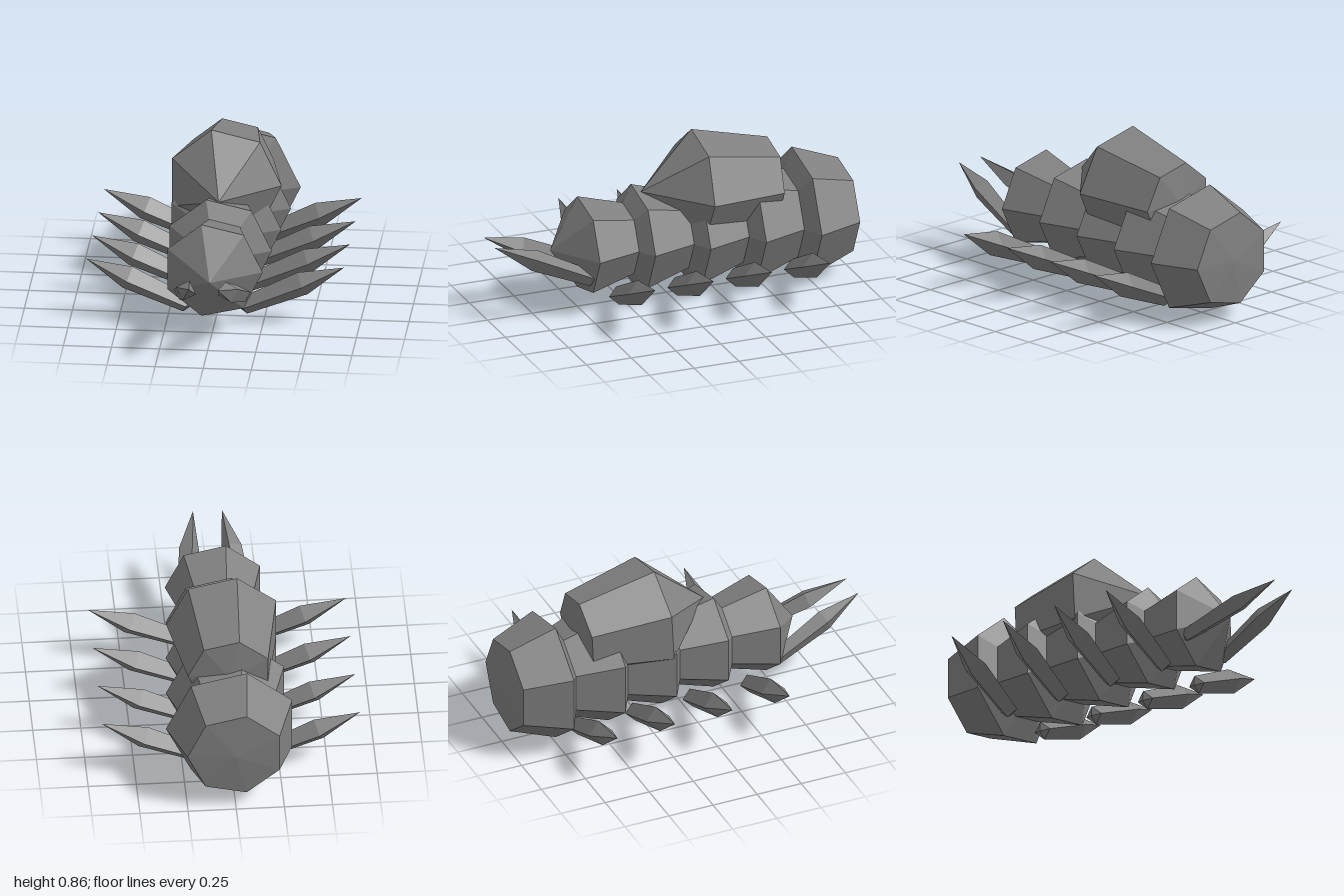
import * as THREE from 'three';

const UP = new THREE.Vector3(0, 1, 0);

// Faceted spindle along +y: pointed nose, widest ring at the origin, tapered tail, shallow end cap
function spindle(sides, radius, nose) {
  const profile = [[0, -1.54 * nose], [0.73 * radius, -1.43 * nose], [radius, 0], [0, nose]]
    .map(([r, y]) => new THREE.Vector2(r, y));
  const geometry = new THREE.LatheGeometry(profile, sides, Math.PI / 2).toNonIndexed();
  geometry.computeVertexNormals();
  return geometry;
}

export function createModel() {
  const group = new THREE.Group();
  const grey = new THREE.MeshStandardMaterial({ color: 0x808080, flatShading: true });
  grey.name = 'shell grey';

  // Places a spindle with its nose pointing along dir
  function add(name, geometry, position, dir, roll = 0) {
    const mesh = new THREE.Mesh(geometry, grey);
    mesh.name = name;
    mesh.position.set(...position);
    mesh.quaternion.setFromUnitVectors(UP, new THREE.Vector3(...dir).normalize());
    mesh.rotateY(roll);
    group.add(mesh);
  }

  // Overlapping body segments, growing towards the rear
  const radii = [0.26, 0.28, 0.301, 0.323, 0.345];
  radii.forEach((r, i) => {
    add(i === 0 ? 'head' : 'bodySegment' + i, spindle(7, r, 0.175),
      [0, 0.34, 0.475 - i * 0.301], [0, 0, 1]);
  });

  // Raised shell on the back, tilted slightly nose-up
  add('backShell', spindle(7, 0.3, 0.295), [0, 0.575, -0.15], [0, 0.05, 1]);

  const legGeometry = spindle(4, 0.065, 0.235);
  const mandibleGeometry = spindle(4, 0.055, 0.231);
  for (const s of [1, -1]) {
    const side = s > 0 ? 'left' : 'right';
    // Four splayed legs per side
    for (let i = 0; i < 4; i++) {
      add(side + 'Leg' + (i + 1), legGeometry,
        [s * 0.455, 0.23, 0.333 - i * 0.3255], [s * 0.915, 0.405, 0]);
    }
    // Mandible pointing forward, up and inward
    add(side + 'Mandible', mandibleGeometry,
      [s * 0.11, 0.345, 0.78], [s * -0.035, 0.09, 0.21], s * 0.2);
  }
  return group;
}
